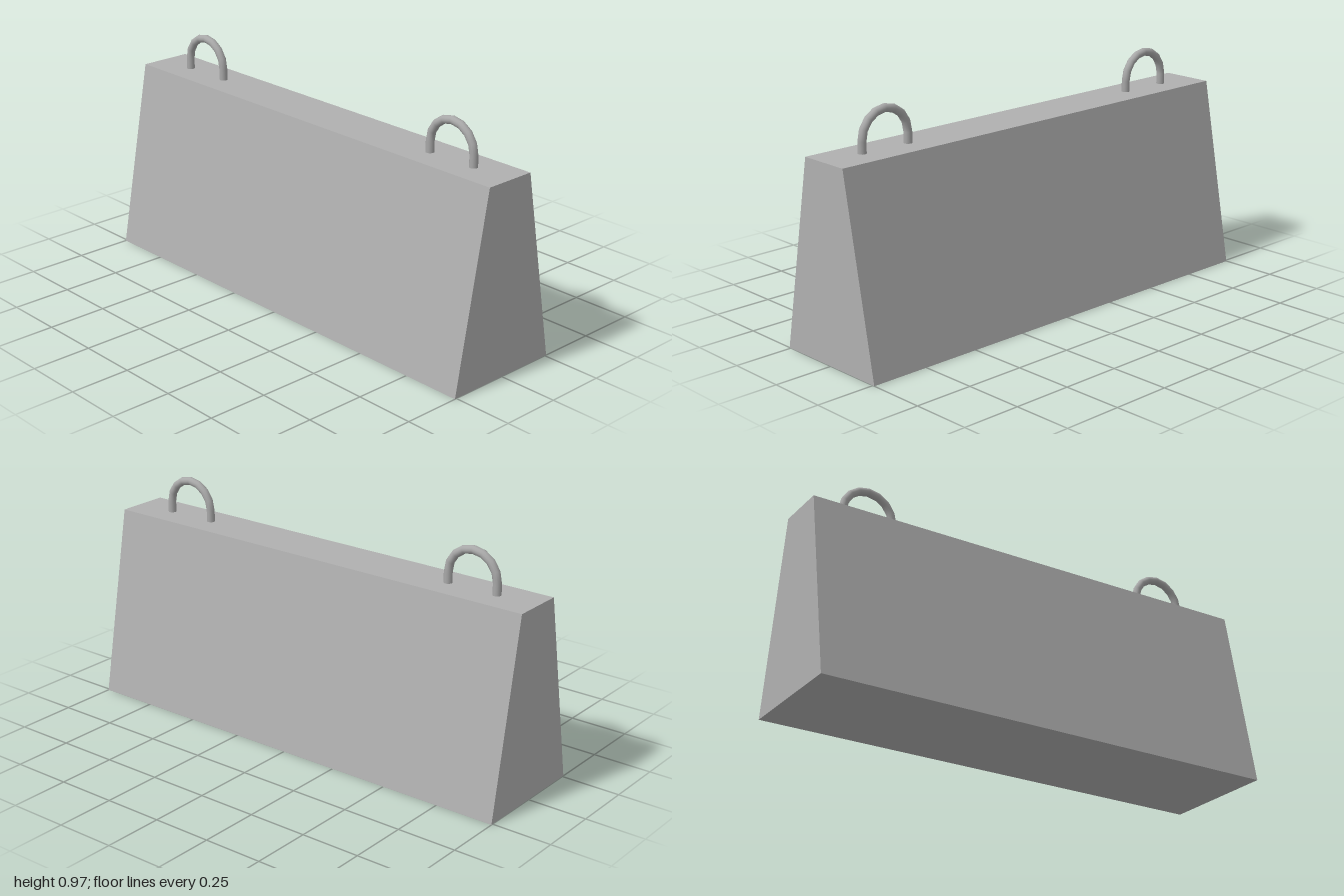
import * as THREE from 'three';

const LENGTH = 2, HEIGHT = 0.793;
const BASE_HALF = 0.258, TOP_HALF = 0.11;
const LOOP_X = 0.712, LOOP_R = 0.11, WIRE_R = 0.017, ARC_Y = 0.838;

const concrete = new THREE.MeshStandardMaterial({ color: 0xb0b0b0 });
concrete.name = 'concrete grey';
const steel = new THREE.MeshStandardMaterial({ color: 0xa8a8a8 });
steel.name = 'steel grey';

function addMesh(parent, name, geometry, material, x = 0, y = 0, z = 0) {
  const mesh = new THREE.Mesh(geometry, material);
  mesh.name = name;
  mesh.position.set(x, y, z);
  parent.add(mesh);
  return mesh;
}

// Block whose front and back lean inwards towards the top
function taperedBlock() {
  const geometry = new THREE.BoxGeometry(LENGTH, HEIGHT, 2);
  geometry.translate(0, HEIGHT / 2, 0);
  const p = geometry.attributes.position;
  for (let i = 0; i < p.count; i++) {
    p.setZ(i, p.getZ(i) * (p.getY(i) > HEIGHT / 2 ? TOP_HALF : BASE_HALF));
  }
  geometry.computeVertexNormals();
  return geometry;
}

// Bent-wire lifting eye: half ring on two short legs sunk into the block
function liftingLoop(name, x) {
  const loop = new THREE.Group();
  loop.name = name;
  loop.position.x = x;
  addMesh(loop, 'loopArch', new THREE.TorusGeometry(LOOP_R, WIRE_R, 12, 8, Math.PI), steel, 0, ARC_Y);
  const legBottom = HEIGHT - 0.02;
  const legLength = ARC_Y - legBottom;
  for (const side of [-1, 1]) {
    addMesh(loop, side > 0 ? 'leftLeg' : 'rightLeg',
      new THREE.CylinderGeometry(WIRE_R, WIRE_R, legLength, 12, 1, true),
      steel, side * LOOP_R, legBottom + legLength / 2);
  }
  return loop;
}

export function createModel() {
  const model = new THREE.Group();
  model.name = 'concreteBarrier';
  addMesh(model, 'barrierBlock', taperedBlock(), concrete);
  model.add(liftingLoop('leftLiftingLoop', LOOP_X));
  model.add(liftingLoop('rightLiftingLoop', -LOOP_X));
  return model;
}
